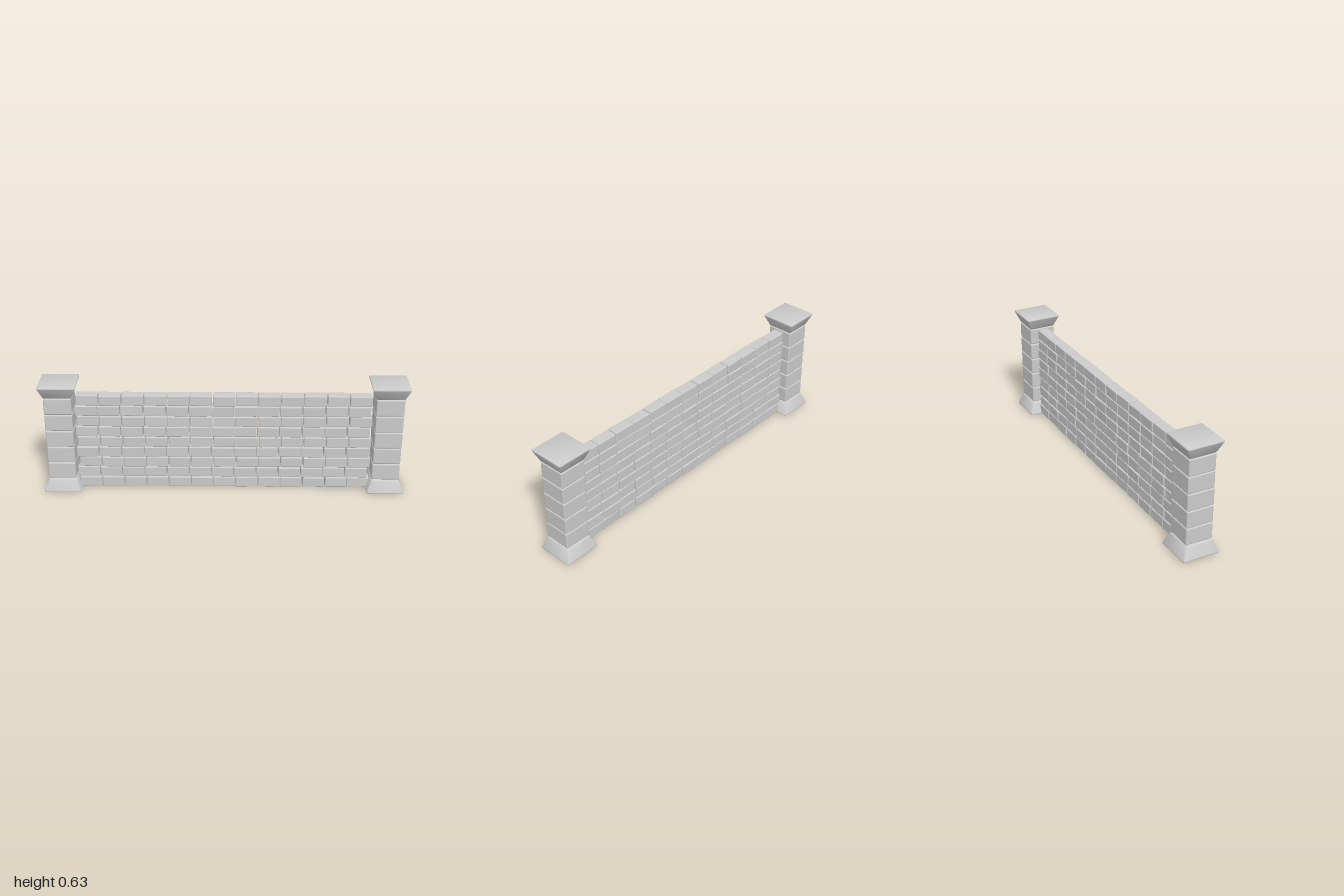
import * as THREE from 'three';
import { RoundedBoxGeometry } from 'three/addons/geometries/RoundedBoxGeometry.js';
import { toCreasedNormals } from 'three/addons/utils/BufferGeometryUtils.js';

const material = new THREE.MeshStandardMaterial({ color: 0xcccccc });

// Small seeded generator, returns -1..1
let seed = 7;
function jitter() {
  seed = (seed * 16807) % 2147483647;
  return (seed / 2147483647) * 2 - 1;
}

function stone(name, w, h, d, radius) {
  const mesh = new THREE.Mesh(new RoundedBoxGeometry(w, h, d, 2, radius), material);
  mesh.name = name;
  return mesh;
}

// Square block with sloping sides: wide at one end, narrow at the other
function flaredBlock(name, height, bottom, top) {
  const geo = new RoundedBoxGeometry(1, height, 1, 3, 0.008);
  const p = geo.attributes.position;
  for (let i = 0; i < p.count; i++) {
    const t = THREE.MathUtils.clamp(p.getY(i) / height + 0.5, 0, 1);
    const half = THREE.MathUtils.lerp(bottom, top, t);
    // keep the rounded rim, shrink only the flat core
    const fit = (v) => Math.sign(v) * (half - (0.5 - Math.abs(v)));
    const inner = (v) => (Math.abs(v) > 0.491 ? fit(v) : v * 2 * (half - 0.008));
    p.setX(i, inner(p.getX(i)));
    p.setZ(i, inner(p.getZ(i)));
  }
  const mesh = new THREE.Mesh(toCreasedNormals(geo, 0.7), material);
  mesh.name = name;
  return mesh;
}

function createPillar(name, x) {
  const pillar = new THREE.Group();
  pillar.name = name;
  pillar.position.x = x;

  const base = flaredBlock('pillarBase', 0.076, 0.105, 0.075);
  base.position.y = 0.038;
  const cap = flaredBlock('pillarCap', 0.072, 0.075, 0.105);
  cap.position.y = 0.594;
  pillar.add(base, cap);

  // Stacked shaft blocks
  const pitch = 0.0962;
  for (let i = 0; i < 5; i++) {
    const block = stone('pillarBlock', 0.152, 0.0945, 0.152, 0.007);
    block.position.set(jitter() * 0.001, 0.077 + pitch * (i + 0.5), jitter() * 0.001);
    block.rotation.set(0, jitter() * 0.008, jitter() * 0.006);
    pillar.add(block);
  }
  return pillar;
}

function createWall() {
  const wall = new THREE.Group();
  wall.name = 'brickWall';
  const rows = 9, columns = 13, pitchX = 0.1242, pitchY = 0.0619;
  for (let r = 0; r < rows; r++) {
    const shift = (r % 2 ? -0.006 : 0.003) + jitter() * 0.002;
    for (let c = 0; c < columns; c++) {
      const brick = stone('brick', 0.121 + jitter() * 0.002, 0.0585, 0.063, 0.005);
      brick.position.set(
        (c - (columns - 1) / 2) * pitchX + shift + jitter() * 0.002,
        (r + 0.5) * pitchY + 0.001 + jitter() * 0.001,
        -0.003 + jitter() * 0.002
      );
      brick.rotation.set(jitter() * 0.03, jitter() * 0.02, jitter() * 0.012);
      wall.add(brick);
    }
  }
  return wall;
}

export function createModel() {
  const model = new THREE.Group();
  model.name = 'stoneFence';
  model.add(createPillar('leftPillar', 0.895), createPillar('rightPillar', -0.895), createWall());
  return model;
}
